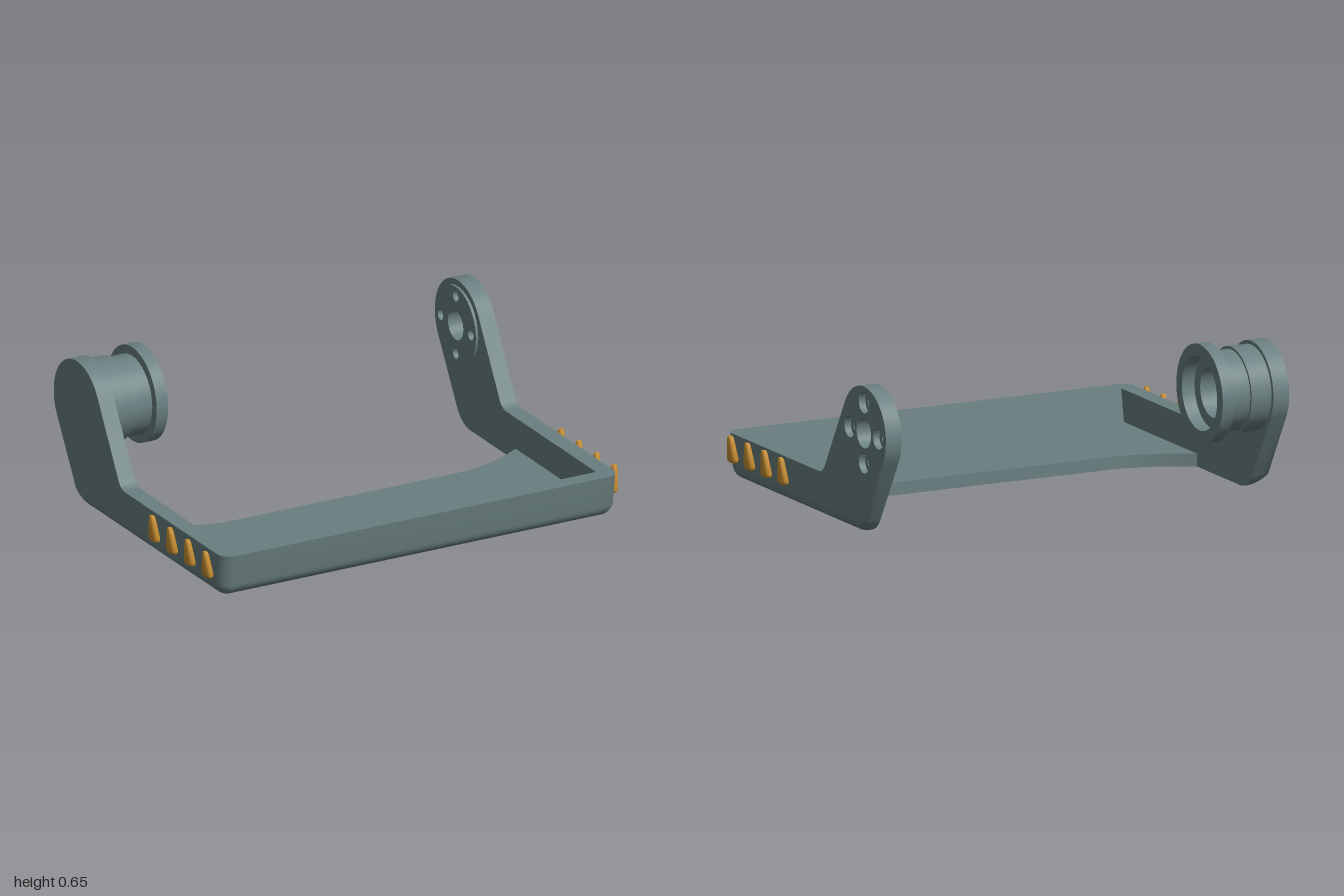
import * as THREE from 'three';
import { toCreasedNormals } from 'three/addons/utils/BufferGeometryUtils.js';

const V = (z, y) => new THREE.Vector2(z, y);
const rad = THREE.MathUtils.degToRad;
const HUB = { z: -0.522, y: 0.443 }; // pivot axis of both arms

// Points on an arc in the (z, y) plane, angles in degrees
function arc(cz, cy, r, from, to, n) {
  return Array.from({ length: n + 1 }, (_, i) => {
    const a = rad(from + (to - from) * i / n);
    return V(cz + r * Math.cos(a), cy + r * Math.sin(a));
  });
}
const hole = (z, y, r, n = 32) => arc(z, y, r, 0, 360 - 360 / n, n - 1);

// Solid through (z, y) sections at rising x, with straight holes and end caps; s = -1 mirrors it
function loft(layers, holes = [], s = 1) {
  const pos = [];
  const tri = (a, b, c) => (s > 0 ? [a, b, c] : [a, c, b]).forEach(p => pos.push(p[0] * s, p[1], p[2]));
  const at = (x, p) => [x, p.y, p.x];
  const wall = (x0, p, x1, q) => p.forEach((_, i) => {
    const j = (i + 1) % p.length;
    tri(at(x0, p[i]), at(x0, p[j]), at(x1, q[j]));
    tri(at(x0, p[i]), at(x1, q[j]), at(x1, q[i]));
  });
  for (let i = 0; i + 1 < layers.length; i++) {
    wall(layers[i].x, layers[i].pts, layers[i + 1].x, layers[i + 1].pts);
  }
  const first = layers[0], last = layers[layers.length - 1];
  holes.forEach(h => wall(first.x, h, last.x, h));
  for (const [layer, dir] of [[first, -1], [last, 1]]) {
    const all = [layer.pts, ...holes].flat();
    for (const f of THREE.ShapeUtils.triangulateShape(layer.pts, holes)) {
      const [a, b, c] = f.map(i => all[i]);
      const nx = (b.y - a.y) * (c.x - a.x) - (b.x - a.x) * (c.y - a.y);
      const [p, q, r] = [a, b, c].map(v => at(layer.x, v));
      if (nx * dir > 0) tri(p, q, r); else tri(p, r, q);
    }
  }
  const g = new THREE.BufferGeometry();
  g.setAttribute('position', new THREE.Float32BufferAttribute(pos, 3));
  return toCreasedNormals(g, 0.5);
}

// Lathe turned so that its axis runs along +x
function turned(points, seg = 48) {
  const g = new THREE.LatheGeometry(points.map(p => V(...p)), seg);
  g.rotateZ(-Math.PI / 2);
  return toCreasedNormals(g, 0.5);
}

// Front edge, from the top down to the bottom; d insets it
const frontEdge = d => [V(0.735 - d, 0.195), ...arc(0.651, 0.065, 0.065 - d, -8, -90, 8)];

// Outline of a side wall with its raised arm; d insets the front and bottom edges
function sideOutline(d) {
  const heel = Array.from({ length: 9 }, (_, i) =>
    arc(-0.42, 0.127, 0.127 - d * (1 - i / 8), -90 - 60 * i / 8, 0, 1)[0]);
  const fillet = new THREE.QuadraticBezierCurve(V(-0.168, 0.23), V(-0.148, 0.195), V(-0.11, 0.195));
  return [...frontEdge(d), ...heel, ...arc(HUB.z, HUB.y, 0.2, 210, 30, 30), ...fillet.getPoints(6)];
}

export function createModel() {
  const model = new THREE.Group();
  const body = new THREE.MeshStandardMaterial({ color: 0x6a7f80 });
  body.name = 'greyBody';
  const amber = new THREE.MeshStandardMaterial({ color: 0xc98f32 });
  amber.name = 'amberSpike';
  const add = (name, geo, mat = body) => {
    const m = new THREE.Mesh(geo, mat);
    m.name = name;
    model.add(m);
    return m;
  };

  // Side walls with arms, rounded along the outer front and bottom edges
  const R = 0.06;
  const layers = [{ x: 0.88, pts: sideOutline(0) }];
  for (let i = 0; i <= 8; i++) {
    const a = rad(90 * i / 8);
    layers.push({ x: 0.955 - R + R * Math.sin(a), pts: sideOutline(R * (1 - Math.cos(a))) });
  }
  const bolts = [0, 90, 180, 270].map(a => arc(HUB.z, HUB.y, 0.13, a, a, 1)[0]);
  const bore = hole(HUB.z, HUB.y, 0.066);
  add('leftSideArm', loft(layers, [bore, ...bolts.map(b => hole(b.x, b.y, 0.045))]));
  add('rightSideArm', loft(layers, [], -1));

  // Raised pad on the inside of the left arm, with countersunk bolt seats
  const pad = hole(HUB.z, HUB.y, 0.173, 48).reverse();
  add('leftHubPad', loft([{ x: 0.868, pts: pad }, { x: 0.88, pts: pad }],
    [bore, ...bolts.map(b => hole(b.x, b.y, 0.023))]));
  for (const b of bolts) {
    const seat = add('boltSeat', turned([[0.023, 0], [0.045, 0], [0.045, 0.045], [0.023, 0.045], [0.023, 0]], 32));
    seat.position.set(0.88, b.y, b.x);
  }

  // Stepped, flanged hub on the right arm with a recessed bore
  const hub = add('rightHub', turned([
    [0.184, 0], [0.184, 0.095], [0.173, 0.095], [0.173, 0.19], [0.211, 0.19], [0.211, 0.245],
    [0.16, 0.245], [0.16, 0.185], [0.11, 0.185], [0.11, 0.005], [0, 0.005],
  ], 64));
  hub.position.set(-0.88, HUB.y, HUB.z);

  // Front wall of the tray
  const front = [...frontEdge(0), V(0.61, 0), V(0.61, 0.055), V(0.635, 0.055), V(0.66, 0.195)];
  add('frontWall', loft([{ x: -0.88, pts: front }, { x: 0.88, pts: front }]));

  // Tray floor with a scooped back edge
  const floor = new THREE.Shape();
  floor.moveTo(-0.88, -0.61);
  floor.lineTo(0.88, -0.61);
  floor.lineTo(0.88, 0.03);
  floor.quadraticCurveTo(0.696, -0.085, 0.53, -0.085);
  floor.lineTo(-0.53, -0.085);
  floor.quadraticCurveTo(-0.696, -0.085, -0.88, 0.03);
  const floorGeo = new THREE.ExtrudeGeometry(floor, { depth: 0.055, bevelEnabled: false, curveSegments: 16 });
  floorGeo.rotateX(-Math.PI / 2);
  add('trayFloor', toCreasedNormals(floorGeo, 0.5));

  // Flattened spikes along both sides, leaning outwards
  const h = 0.118;
  const spike = new THREE.LatheGeometry([[0, 0], [0.026, 0], [0.035, 0.007], [0.037, 0.018],
    [0.016, 0.105], [0.011, 0.115], [0, h]].map(p => V(...p)), 12);
  const p = spike.attributes.position;
  for (let i = 0; i < p.count; i++) {
    const t = p.getY(i) / h;
    p.setX(i, p.getX(i) * (0.5 + 0.4 * t) + 0.013 * t);
  }
  const spikeGeo = toCreasedNormals(spike, 0.6);
  for (const s of [1, -1]) {
    for (const z of [0.175, 0.327, 0.479, 0.631]) {
      const m = add(s > 0 ? 'leftSpike' : 'rightSpike', spikeGeo, amber);
      m.position.set(0.973 * s, 0.081, z);
      if (s < 0) m.rotation.y = Math.PI;
    }
  }
  return model;
}
